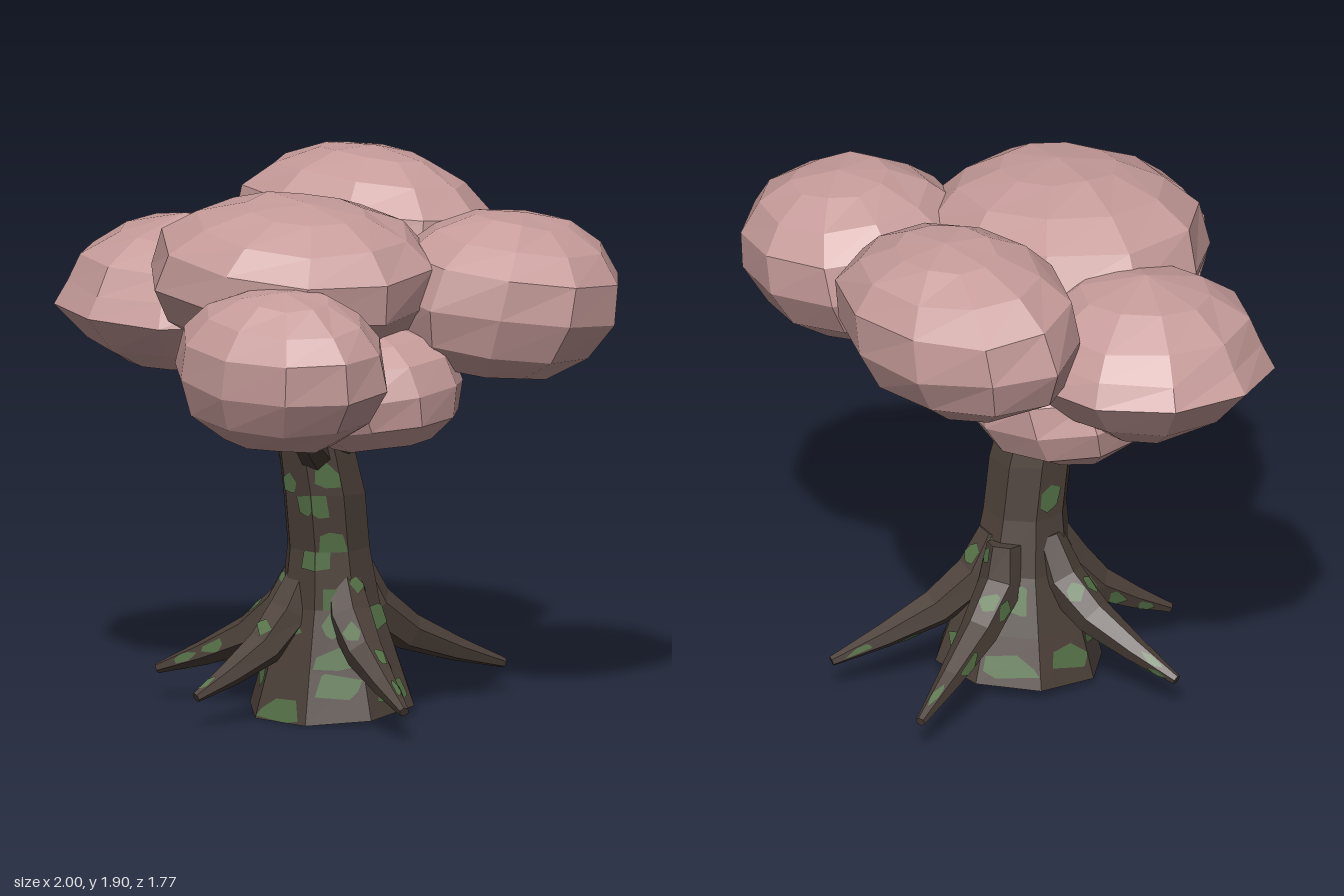
import * as THREE from 'three';
import { mergeGeometries } from 'three/addons/utils/BufferGeometryUtils.js';

const V = (x, y, z) => new THREE.Vector3(x, y, z);

// seeded random numbers
function seeded(seed) {
  let s = seed;
  return () => {
    s = (s * 16807) % 2147483647;
    return s / 2147483647;
  };
}

// triangles with hard facets
function faceted(points) {
  const g = new THREE.BufferGeometry().setFromPoints(points);
  g.computeVertexNormals();
  return g;
}

// skin over a stack of rings, closed by a point at the end and, if given, at the start
function loft(rings, start, end) {
  const tri = [];
  const n = rings[0].length;
  const last = rings[rings.length - 1];
  for (let j = 0; j < n; j++) {
    const k = (j + 1) % n;
    if (start) tri.push(start, rings[0][j], rings[0][k]);
    for (let i = 0; i < rings.length - 1; i++) {
      const [a, b, c, d] = [rings[i][j], rings[i][k], rings[i + 1][j], rings[i + 1][k]];
      tri.push(a, c, b, b, c, d);
    }
    tri.push(end, last[k], last[j]);
  }
  return faceted(tri);
}

// rings along a path of points with a radius at each
function tubeRings(path, radii, sides) {
  return path.map((p, i) => {
    const d = path[Math.min(i + 1, path.length - 1)].clone().sub(path[Math.max(i - 1, 0)]).normalize();
    const u = V(d.z, 0, -d.x).normalize();
    const v = u.clone().cross(d);
    return Array.from({ length: sides }, (_, j) => {
      const a = (j / sides) * Math.PI * 2 + 0.3;
      return p.clone().addScaledVector(u, Math.cos(a) * radii[i]).addScaledVector(v, Math.sin(a) * radii[i]);
    });
  });
}

// thin irregular moss plate on facet j of segment i, centred at u (around) and t (along)
function mossPatch(rings, [i, j, u0, t0], rand, offset) {
  const n = rings[0].length;
  const k = (j + 1) % n;
  const [a, b, c, d] = [rings[i][j], rings[i][k], rings[i + 1][j], rings[i + 1][k]];
  const normal = c.clone().sub(a).cross(b.clone().sub(a)).normalize();
  const on = (u, t) => a.clone().lerp(b, u).lerp(c.clone().lerp(d, u), t).addScaledVector(normal, offset);
  const rim = Array.from({ length: 6 }, (_, m) => {
    const ang = (m / 6) * Math.PI * 2 + rand();
    const s = 0.85 + rand() * 0.35;
    const u = THREE.MathUtils.clamp(u0 + Math.cos(ang) * 0.46 * s, 0, 1);
    const t = THREE.MathUtils.clamp(t0 + Math.sin(ang) * 0.25 * s, 0, 1);
    return on(u, t);
  });
  const centre = on(u0, t0);
  return faceted(rim.flatMap((p, m) => [centre, rim[(m + 1) % 6], p]));
}

// flattened faceted leaf clump: centre, radii, tilt about x and z, turn of the corners in degrees
function leafClump([cx, cy, cz], [rx, ry, rz], [tx, tz], phase, profile, rand) {
  const sides = 10;
  const turn = new THREE.Euler(tx, 0, tz);
  const place = (x, y, z) => V(x, y, z).applyEuler(turn).multiply(V(rx, ry, rz)).add(V(cx, cy, cz));
  const rings = profile.map(([r, y]) =>
    Array.from({ length: sides }, (_, j) => {
      const a = (j / sides) * Math.PI * 2 + THREE.MathUtils.degToRad(phase);
      const s = r * (0.98 + rand() * 0.04);
      return place(Math.cos(a) * s, y + (rand() - 0.5) * 0.05, Math.sin(a) * s);
    }));
  return loft(rings, place(0, -0.97, 0), place(0, 1, 0));
}

export function createModel() {
  const group = new THREE.Group();
  const blossom = new THREE.MeshStandardMaterial({ name: 'dusty pink leaves', color: 0xc69c9a });
  const bark = new THREE.MeshStandardMaterial({ name: 'dark bark', color: 0x4c4039, side: THREE.DoubleSide });
  const moss = new THREE.MeshStandardMaterial({ name: 'green moss', color: 0x557247, side: THREE.DoubleSide });
  const rand = seeded(77);
  const add = (name, geometry, material) => {
    const mesh = new THREE.Mesh(geometry, material);
    mesh.name = name;
    group.add(mesh);
  };

  // leaning eight-sided trunk, hollow below: y, x, z, radius, slant of the ring
  const trunkRings = [
    [0.028, 0.055, -0.055, 0.3, 0.09],
    [0.2, 0.06, -0.045, 0.245, 0.07],
    [0.4, 0.07, -0.03, 0.18, 0.03],
    [0.6, 0.078, -0.01, 0.15, 0],
    [0.8, 0.085, 0.022, 0.15, -0.05],
    [1.0, 0.077, 0.065, 0.138, -0.1],
    [1.22, 0.068, 0.1, 0.122, -0.1],
  ].map(([y, x, z, r, slant]) =>
    Array.from({ length: 8 }, (_, j) => {
      const a = ((j + 0.5) / 8) * Math.PI * 2;
      return V(x + Math.cos(a) * r, y - Math.sin(a) * r * slant, z + Math.sin(a) * r);
    }));
  add('trunk', loft(trunkRings, null, V(0.068, 1.24, 0.1)), bark);

  // moss on the trunk: segment, facet, position across and along
  const trunkMoss = [
    [0, 1, 0.5, 0.2], [0, 0, 0.5, 0.7], [0, 2, 0.5, 0.75], [0, 7, 0.4, 0.4],
    [0, 6, 0.5, 0.3], [0, 4, 0.5, 0.4], [0, 5, 0.5, 0.6], [0, 3, 0.4, 0.5],
    [1, 1, 0.8, 0.65], [1, 2, 0.2, 0.7], [1, 0, 0.4, 0.75], [1, 0, 0.5, 0.1], [1, 7, 0.3, 0.8], [1, 4, 0.5, 0.6],
    [2, 0, 0.5, 0.15], [2, 1, 0.1, 0.9], [2, 0, 0.9, 0.9], [2, 2, 0.5, 0.1], [2, 5, 0.4, 0.4],
    [3, 1, 0.1, 0.85], [3, 0, 0.8, 0.85], [3, 3, 0.6, 0.4], [3, 0, 0.5, 0.1],
    [4, 0, 0.4, 0.35], [4, 2, 0.4, 0.8], [4, 4, 0.5, 0.5], [4, 3, 0.4, 0.3], [4, 1, 0.9, 0.15],
    [5, 1, 0.8, 0.25], [5, 2, 0.3, 0.25], [5, 6, 0.5, 0.2], [5, 4, 0.4, 0.3],
  ];
  add('trunkMoss', mergeGeometries(trunkMoss.map((spot) => mossPatch(trunkRings, spot, rand, 0.004))), moss);
  const inner = trunkMoss.filter(([segment]) => segment === 0);
  add('innerMoss', mergeGeometries(inner.map((spot) => mossPatch(trunkRings, spot, rand, -0.004))), moss);

  // roots spread from the trunk and taper to raised tips: tip x, tip z, start distance
  const roots = [[0.62, 0.22, 0.1], [-0.1, 0.49, 0.09], [-0.55, 0.17, 0.1], [0.295, -0.69, 0.1], [-0.26, -0.73, 0.14]];
  const rootMoss = [];
  roots.forEach(([x, z, first], i) => {
    const origin = V(0.065, 0, -0.03);
    const reach = V(x, 0, z).sub(origin);
    const dir = reach.clone().normalize();
    const at = (dist, y) => origin.clone().addScaledVector(dir, dist).setY(y);
    const len = reach.length();
    const path = [at(first, 0.52), at(0.165, 0.37), at(0.15 + (len - 0.15) * 0.3, 0.258),
      at(0.15 + (len - 0.15) * 0.65, 0.178), at(len, 0.11)];
    const rings = tubeRings(path, [0.06, 0.08, 0.068, 0.044, 0.018], 6);
    add('root' + (i + 1), loft(rings, path[0], path[4]), bark);
    for (let seg = 0; seg < 4; seg++) {
      for (let side = 0; side < 6; side++) {
        const chance = seg === 0 ? 0.5 : 0.25;
        if (rand() < chance) rootMoss.push(mossPatch(rings, [seg, side, 0.5, 0.3 + rand() * 0.4], rand, 0.004));
      }
    }
  });
  add('rootMoss', mergeGeometries(rootMoss), moss);

  // branches reach up into the leaf clumps
  const branches = [
    [V(0.03, 0.93, 0.05), V(-0.13, 1.02, 0.0), V(-0.3, 1.12, -0.05)],
    [V(0.12, 0.93, 0.1), V(0.23, 1.02, 0.28), V(0.33, 1.15, 0.46)],
    [V(0.1, 0.93, 0.04), V(0.24, 1.03, 0.05), V(0.35, 1.15, 0.05)],
    [V(0.1, 1.08, 0.05), V(0.4, 1.21, -0.22), V(0.54, 1.42, -0.32)],
    [V(0.06, 0.98, 0.03), V(0.05, 1.04, -0.04), V(0.04, 1.1, -0.09)],
  ];
  const branchMoss = [];
  branches.forEach((path, i) => {
    const rings = tubeRings(path, [0.06, 0.05, 0.035], 6);
    add('branch' + (i + 1), loft(rings, path[0], path[2]), bark);
    if (i !== 3) branchMoss.push(mossPatch(rings, [0, 4, 0.5, 0.6], rand, 0.004), mossPatch(rings, [1, 2, 0.5, 0.4], rand, 0.004));
  });
  add('branchMoss', mergeGeometries(branchMoss), moss);

  // crown of rounded clumps, with one sharp-rimmed lens on the right
  const round = [[0.53, -0.88], [0.86, -0.55], [1, -0.1], [0.95, 0.38], [0.74, 0.7], [0.42, 0.92]];
  const lens = [[0.42, -0.9], [0.72, -0.6], [1, -0.12], [0.9, 0.16], [0.78, 0.48], [0.5, 0.8]];
  const clumps = [
    ['crownCentre', [0.06, 1.57, 0.165], [0.53, 0.285, 0.48], [0.08, -0.2], 12, round],
    ['crownBack', [-0.22, 1.59, -0.53], [0.51, 0.31, 0.37], [-0.1, -0.06], -5, round],
    ['crownLeftBack', [0.595, 1.5, -0.345], [0.42, 0.295, 0.4], [-0.12, -0.12], 16, round],
    ['crownRight', [-0.54, 1.43, 0.04], [0.465, 0.28, 0.455], [0.05, -0.05], 25, lens],
    ['crownFront', [0.355, 1.34, 0.565], [0.41, 0.285, 0.325], [0.1, -0.1], 18, round],
    ['crownLowLeft', [0.335, 1.205, 0.08], [0.345, 0.225, 0.33], [0.05, 0.2], 18, round],
    ['crownLowRight', [-0.28, 1.22, -0.13], [0.36, 0.22, 0.34], [-0.1, -0.15], 18, round],
  ];
  clumps.forEach(([name, centre, radii, tilt, phase, profile]) => {
    add(name, leafClump(centre, radii, tilt, phase, profile, rand), blossom);
  });
  return group;
}
